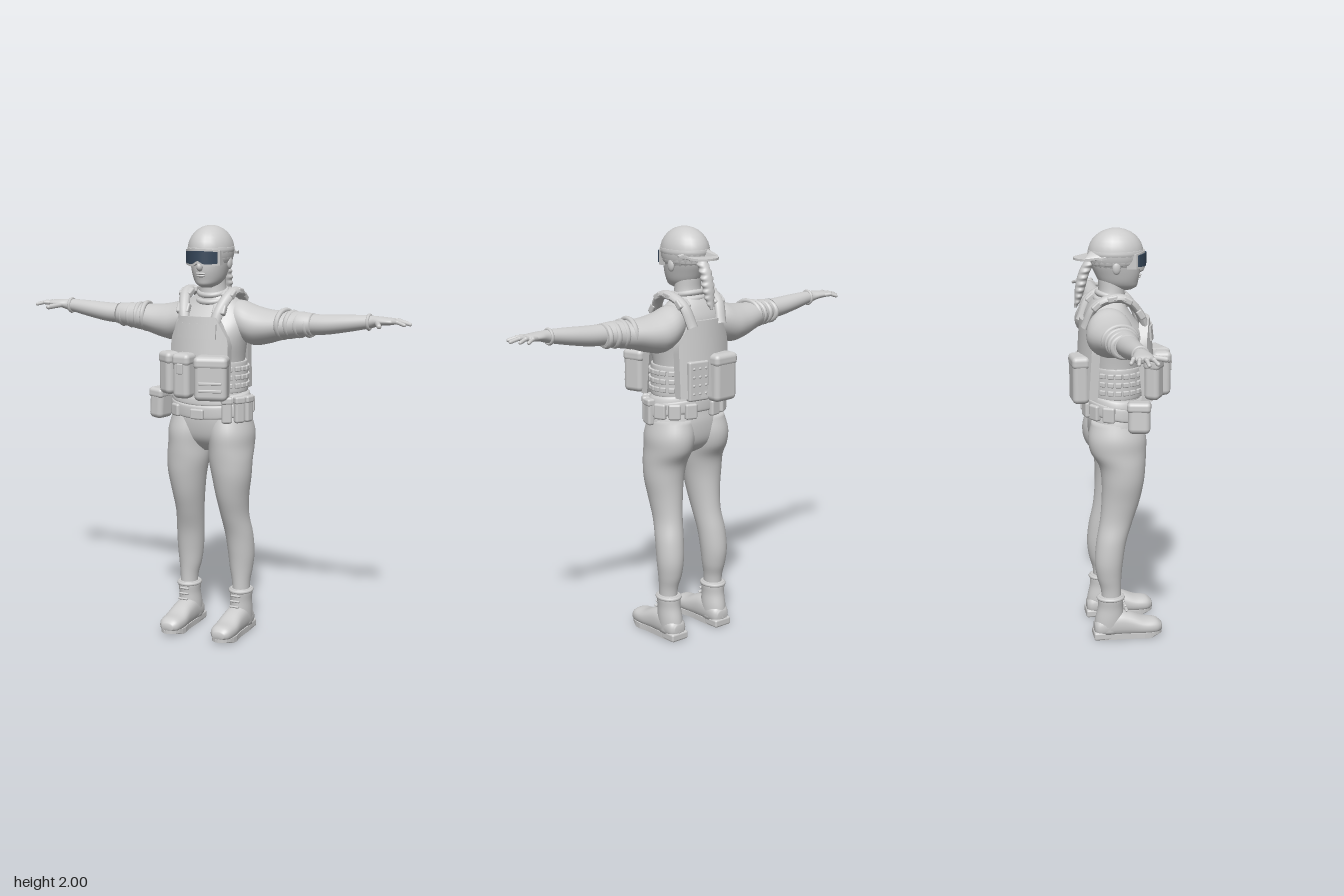
import * as THREE from 'three';
import { RoundedBoxGeometry } from 'three/addons/geometries/RoundedBoxGeometry.js';

const grey = new THREE.MeshStandardMaterial({ color: 0xcccccc });
grey.name = 'light grey';
const dark = new THREE.MeshStandardMaterial({ color: 0x36475a });
dark.name = 'dark blue lens';

// Smooth closed body along an axis (0 x, 1 y, 2 z).
// Sections: [position, centreU, centreV, radiusU, radiusV]; (u,v) is (z,y), (x,z) or (y,x).
function loft(axis, sections, { seg = 28, steps = 5, power = 1 } = {}) {
  const u = (axis + 2) % 3, v = (axis + 1) % 3, pos = [], idx = [];
  const mid = new THREE.CatmullRomCurve3(sections.map(s => new THREE.Vector3(s[0], s[1], s[2])), false, 'catmullrom');
  const rad = new THREE.CatmullRomCurve3(sections.map(s => new THREE.Vector3(s[3], s[4], 0)), false, 'catmullrom');
  const n = (sections.length - 1) * steps;
  const bend = c => Math.sign(c) * Math.abs(c) ** power;
  const push = (c, du, dv) => {
    const p = c.toArray(), q = [0, 0, 0];
    q[axis] = p[0]; q[u] = p[1] + du; q[v] = p[2] + dv;
    pos.push(...q);
  };
  for (let i = 0; i <= n; i++) {
    const c = mid.getPoint(i / n), r = rad.getPoint(i / n);
    for (let j = 0; j < seg; j++) {
      const a = j / seg * Math.PI * 2;
      push(c, r.x * bend(Math.cos(a)), r.y * bend(Math.sin(a)));
    }
  }
  for (let i = 0; i < n; i++) for (let j = 0; j < seg; j++) {
    const a = i * seg + j, b = i * seg + (j + 1) % seg;
    idx.push(a, a + seg, b, b, a + seg, b + seg);
  }
  const e = (n + 1) * seg;
  push(mid.getPoint(0), 0, 0);
  push(mid.getPoint(1), 0, 0);
  for (let j = 0; j < seg; j++) {
    const k = (j + 1) % seg;
    idx.push(e, j, k, e + 1, n * seg + k, n * seg + j);
  }
  const g = new THREE.BufferGeometry();
  g.setAttribute('position', new THREE.Float32BufferAttribute(pos, 3));
  g.setIndex(idx);
  g.computeVertexNormals();
  return g;
}

// Move every vertex by a rule.
function warp(g, rule) {
  const p = g.attributes.position, v = new THREE.Vector3();
  for (let i = 0; i < p.count; i++) { v.fromBufferAttribute(p, i); rule(v); p.setXYZ(i, v.x, v.y, v.z); }
  g.computeVertexNormals();
  return g;
}

// Curved armour panel, narrowed by taper(height from 0 to 1).
const panel = (w, h, d, curve, taper = () => 1) => warp(new THREE.BoxGeometry(w, h, d, 16, 12, 2), v => {
  v.x *= taper(v.y / h + 0.5);
  v.z -= curve * v.x * v.x;
});

const rbox = (w, h, d, r = 0.018) => new RoundedBoxGeometry(w, h, d, 3, Math.min(r, w / 2.1, h / 2.1, d / 2.1));
const ball = (rx, ry, rz) => new THREE.SphereGeometry(1, 24, 16).scale(rx, ry, rz);
const put = (g, x, y, z, ry = 0, rx = 0, rz = 0) => g.rotateZ(rz).rotateX(rx).rotateY(ry).translate(x, y, z);

function limb(a, b, r) {
  const A = new THREE.Vector3(...a), B = new THREE.Vector3(...b), d = B.clone().sub(A);
  const g = new THREE.CapsuleGeometry(r, d.length(), 5, 10);
  g.applyQuaternion(new THREE.Quaternion().setFromUnitVectors(new THREE.Vector3(0, 1, 0), d.normalize()));
  return g.translate(...A.add(B).multiplyScalar(0.5).toArray());
}

function mirrored(geo) {
  const g = geo.clone().scale(-1, 1, 1);
  const old = g.index ? Array.from(g.index.array) : Array.from({ length: g.attributes.position.count }, (_, i) => i);
  for (let i = 0; i < old.length; i += 3) [old[i], old[i + 1]] = [old[i + 1], old[i]];
  g.setIndex(old);
  return g;
}

export function createModel() {
  const model = new THREE.Group();
  model.name = 'figure';
  const add = (name, g, m = grey) => { const o = new THREE.Mesh(g, m); o.name = name; model.add(o); };
  const pair = (name, g) => { add(name + 'Left', g); add(name + 'Right', mirrored(g)); };

  // Head, cap and hair
  add('head', loft(1, [[1.71, 0, 0.005, 0.025, 0.045], [1.725, 0, 0, 0.052, 0.075], [1.75, 0, -0.01, 0.07, 0.092],
    [1.79, 0, -0.017, 0.083, 0.107], [1.84, 0, -0.027, 0.094, 0.118], [1.89, 0, -0.025, 0.095, 0.12]]));
  add('nose', put(ball(0.015, 0.022, 0.02), 0, 1.812, 0.092));
  add('upperLip', put(ball(0.026, 0.006, 0.012), 0, 1.779, 0.086));
  add('lowerLip', put(ball(0.022, 0.007, 0.012), 0, 1.768, 0.083));
  pair('ear', put(ball(0.012, 0.03, 0.02), 0.093, 1.825, -0.035));
  add('capDome', put(ball(0.106, 0.117, 0.132).toNonIndexed(), 0, 1.883, -0.025));
  add('capBand', loft(1, [[1.868, 0, -0.025, 0.103, 0.129], [1.885, 0, -0.025, 0.107, 0.133], [1.9, 0, -0.025, 0.105, 0.131]]));
  const brim = new THREE.Shape();
  for (let i = 0; i <= 20; i++) {
    const a = (i / 20 - 0.5) * 2.5;
    brim[i ? 'lineTo' : 'moveTo'](0.105 * Math.sin(a), 0.2 * Math.cos(a) ** 0.8);
  }
  for (let i = 20; i >= 0; i--) { const a = (i / 20 - 0.5) * 2.4; brim.lineTo(0.098 * Math.sin(a), 0.11 * Math.cos(a)); }
  const brimGeo = new THREE.ExtrudeGeometry(brim, { depth: 0.01, bevelEnabled: false });
  brimGeo.rotateX(-Math.PI / 2).translate(0, 1.905, -0.025);
  add('capBrim', warp(brimGeo, v => { v.y -= 4.2 * v.x * v.x + 0.5 * Math.max(0, -v.z - 0.13); }));
  const hair = [[1.63, 0, -0.216, 0.006, 0.006], [1.67, 0, -0.204, 0.022, 0.016], [1.73, 0, -0.192, 0.031, 0.024],
    [1.8, 0, -0.172, 0.03, 0.026], [1.86, 0, -0.135, 0.026, 0.03]];
  add('ponytail', warp(loft(1, hair, { steps: 12 }), v => { v.x *= 1 + 0.14 * Math.sin(v.y * 210); }));

  // Goggles
  const notch = v => { if (v.y < 0) v.y += 0.018 * Math.exp(-((v.x / 0.022) ** 2)); v.y *= 1 - 24 * v.x * v.x; };
  const frame = warp(new THREE.BoxGeometry(0.178, 0.086, 0.045, 24, 4, 1), v => { notch(v); v.z -= 7 * v.x * v.x; });
  add('goggleFrame', put(frame, 0, 1.853, 0.092));
  const lens = warp(new THREE.BoxGeometry(0.162, 0.064, 0.006, 24, 4, 1), v => { notch(v); v.z -= 7 * v.x * v.x; });
  add('goggleLens', put(lens, 0, 1.854, 0.117), dark);
  add('goggleStrap', loft(1, [[1.835, 0, -0.025, 0.097, 0.122], [1.85, 0, -0.025, 0.101, 0.125], [1.87, 0, -0.025, 0.1, 0.125]]));

  // Neck and folded collar
  add('neck', loft(1, [[1.6, 0, -0.055, 0.09, 0.08], [1.66, 0, -0.05, 0.074, 0.07], [1.71, 0, -0.045, 0.064, 0.062], [1.77, 0, -0.045, 0.06, 0.065]]));
  for (const [y, r] of [[1.655, 0.073], [1.685, 0.065]])
    add('collarFold', put(new THREE.TorusGeometry(r, 0.014, 10, 32), 0, y, -0.048, 0, Math.PI / 2 + 0.22));

  // Torso and pelvis
  add('torso', loft(1, [[0.92, 0, -0.03, 0.06, 0.05], [0.95, 0, -0.035, 0.16, 0.09], [1.0, 0, -0.033, 0.205, 0.12],
    [1.08, 0, -0.03, 0.2, 0.13], [1.15, 0, -0.028, 0.183, 0.122], [1.25, 0, -0.03, 0.165, 0.115], [1.35, 0, -0.03, 0.165, 0.125],
    [1.45, 0, -0.025, 0.178, 0.142], [1.52, 0, -0.038, 0.188, 0.138], [1.58, 0, -0.058, 0.182, 0.117],
    [1.63, 0, -0.065, 0.145, 0.092], [1.665, 0, -0.06, 0.095, 0.075], [1.69, 0, -0.05, 0.06, 0.06]], { seg: 40, power: 0.92 }));

  // Legs
  pair('leg', loft(1, [[0.16, 0.145, -0.07, 0.042, 0.048], [0.25, 0.144, -0.072, 0.044, 0.049], [0.32, 0.141, -0.08, 0.056, 0.06],
    [0.4, 0.14, -0.081, 0.065, 0.069], [0.5, 0.134, -0.068, 0.068, 0.073], [0.6, 0.123, -0.042, 0.068, 0.08],
    [0.7, 0.12, -0.021, 0.079, 0.092], [0.8, 0.12, -0.01, 0.095, 0.102], [0.88, 0.114, -0.012, 0.105, 0.112],
    [0.95, 0.11, -0.03, 0.107, 0.134], [1.02, 0.106, -0.035, 0.11, 0.139], [1.1, 0.095, -0.035, 0.1, 0.12]], { seg: 32 }));

  // Boots
  pair('bootShaft', loft(1, [[0.03, 0.14, -0.085, 0.052, 0.072], [0.1, 0.141, -0.08, 0.055, 0.07], [0.16, 0.143, -0.075, 0.052, 0.062],
    [0.205, 0.144, -0.073, 0.055, 0.063], [0.222, 0.144, -0.073, 0.05, 0.058]]));
  pair('bootFoot', loft(2, [[-0.155, 0.055, 0.14, 0.025, 0.03], [-0.13, 0.058, 0.14, 0.048, 0.05], [-0.05, 0.072, 0.14, 0.065, 0.055],
    [0.02, 0.066, 0.14, 0.058, 0.056], [0.09, 0.052, 0.14, 0.042, 0.06], [0.15, 0.048, 0.14, 0.036, 0.053],
    [0.18, 0.044, 0.14, 0.018, 0.03]], { power: 0.85 }));
  const sole = new THREE.Shape();
  sole.moveTo(-0.04, -0.155);
  sole.bezierCurveTo(-0.06, -0.06, -0.04, 0, -0.06, 0.09);
  sole.bezierCurveTo(-0.06, 0.215, 0.06, 0.215, 0.06, 0.09);
  sole.bezierCurveTo(0.04, 0, 0.06, -0.06, 0.04, -0.155);
  const soleGeo = new THREE.ExtrudeGeometry(sole, { depth: 0.028, bevelEnabled: false });
  pair('bootSole', warp(put(soleGeo, 0.14, 0.028, 0, 0, Math.PI / 2), v => { if (v.y < 0.01 && v.z > 0.13) v.y += 0.012; }));
  pair('bootHeel', put(rbox(0.1, 0.04, 0.09, 0.01), 0.14, 0.02, -0.115));
  for (let i = 0; i < 4; i++) pair('bootLace', put(rbox(0.05, 0.01, 0.014, 0.005), 0.142, 0.115 + i * 0.025, 0.012 - i * 0.008, 0, -0.5));
  pair('bootCollar', put(new THREE.TorusGeometry(0.052, 0.009, 8, 28).scale(1, 1.15, 1), 0.144, 0.21, -0.073, 0, Math.PI / 2));

  // Arms with rolled sleeves
  pair('sleeve', loft(0, [[0.06, -0.07, 1.58, 0.06, 0.06], [0.14, -0.078, 1.555, 0.1, 0.092], [0.21, -0.08, 1.53, 0.113, 0.094],
    [0.28, -0.077, 1.528, 0.106, 0.082], [0.36, -0.07, 1.538, 0.09, 0.068], [0.42, -0.063, 1.545, 0.074, 0.064],
    [0.47, -0.058, 1.55, 0.066, 0.058], [0.52, -0.055, 1.552, 0.056, 0.052]]));
  for (const [x, r] of [[0.37, 0.072], [0.41, 0.063], [0.455, 0.057], [0.5, 0.052]])
    pair('sleeveFold', put(new THREE.TorusGeometry(r, 0.013, 8, 28).scale(1.08, 0.9, 1), x, 1.547, -0.062, Math.PI / 2 - 0.15, 0, 0));
  pair('forearm', loft(0, [[0.48, -0.054, 1.552, 0.053, 0.049], [0.58, -0.05, 1.556, 0.052, 0.047], [0.68, -0.048, 1.567, 0.045, 0.041],
    [0.77, -0.046, 1.578, 0.035, 0.033], [0.81, -0.045, 1.582, 0.033, 0.028], [0.85, -0.045, 1.587, 0.042, 0.021],
    [0.9, -0.048, 1.588, 0.044, 0.016], [0.92, -0.05, 1.587, 0.034, 0.011]]));
  pair('wristBand', put(new THREE.TorusGeometry(0.032, 0.008, 8, 24), 0.795, 1.58, -0.045, Math.PI / 2));
  for (const [a, b] of [[[0.88, -0.08], [0.94, -0.108]], [[0.9, -0.065], [0.965, -0.08]], [[0.9, -0.045], [0.99, -0.042]], [[0.9, -0.024], [0.975, -0.002]]]) {
    const m = [(a[0] + b[0]) / 2, 1.59, (a[1] + b[1]) / 2];
    pair('fingerBase', limb([a[0], 1.587, a[1]], m, 0.0105));
    pair('fingerTip', limb(m, [b[0], 1.58, b[1]], 0.0085));
  }
  pair('thumb', limb([0.84, 1.582, -0.02], [0.875, 1.575, 0.05], 0.012));

  // Vest plates and shoulder straps
  const taper = t => t > 0.72 ? 1 - (t - 0.72) * 1.35 : 1;
  add('chestPlate', put(panel(0.3, 0.38, 0.045, 2.2, taper), 0, 1.39, 0.132, 0, -0.1));
  add('chestPatch', put(panel(0.2, 0.07, 0.01, 2.2), 0, 1.515, 0.146, 0, -0.1));
  add('backPlate', put(panel(0.3, 0.36, 0.04, -2, taper), 0, 1.4, -0.188, 0, 0.06));
  const strap = new THREE.CatmullRomCurve3([[0.085, 1.55, 0.1], [0.095, 1.61, 0.075], [0.112, 1.68, 0.01], [0.115, 1.69, -0.06],
    [0.105, 1.65, -0.14], [0.09, 1.55, -0.185]].map(p => new THREE.Vector3(...p)));
  pair('shoulderStrap', warp(new THREE.TubeGeometry(strap, 40, 0.021, 10), v => { v.x = 0.1 + (v.x - 0.1) * 1.35; }));
  for (const t of [0.2, 0.4, 0.6, 0.78]) {
    const p = strap.getPoint(t), d = strap.getTangent(t);
    pair('strapBuckle', put(rbox(0.066, 0.05, 0.03, 0.008), p.x, p.y, p.z, 0, Math.atan2(d.z, d.y) + (t > 0.5 ? Math.PI : 0)));
  }

  // Things set around an elliptical waist
  const around = (name, y, rx, rz, size, angles) => angles.forEach(deg => {
    const a = deg * Math.PI / 180;
    add(name, put(rbox(...size), rx * Math.sin(a), y, -0.03 + rz * Math.cos(a), Math.atan2(Math.sin(a) / rx, Math.cos(a) / rz)));
  });

  // Side webbing
  add('waistBand', loft(1, [[1.215, 0, -0.03, 0.178, 0.136], [1.23, 0, -0.03, 0.184, 0.14], [1.35, 0, -0.03, 0.181, 0.142], [1.362, 0, -0.03, 0.174, 0.137]], { seg: 40 }));
  for (const y of [1.25, 1.29, 1.33])
    around('webbingLoop', y, 0.184, 0.144, [0.03, 0.024, 0.016, 0.005], [50, 66, 80, 94, 108, 124, -50, -66, -80, -94, -108, -124]);

  // Belt, tilted down at the front
  add('belt', warp(loft(1, [[1.11, 0, -0.03, 0.2, 0.144], [1.12, 0, -0.03, 0.207, 0.15], [1.165, 0, -0.03, 0.203, 0.15],
    [1.175, 0, -0.03, 0.195, 0.142]], { seg: 40 }), v => { v.y -= 0.18 * v.z; }));
  add('hipPad', warp(loft(1, [[1.165, 0, -0.03, 0.195, 0.14], [1.175, 0, -0.03, 0.2, 0.144], [1.2, 0, -0.03, 0.193, 0.14],
    [1.21, 0, -0.03, 0.18, 0.13]], { seg: 40 }), v => { v.y -= 0.12 * v.z; }));
  add('beltBuckle', put(rbox(0.07, 0.05, 0.025, 0.008), 0, 1.115, 0.122));
  around('beltPouch', 1.135, 0.207, 0.155, [0.05, 0.12, 0.035, 0.012], [42, 62, 82]);
  around('beltPouchFlap', 1.185, 0.208, 0.158, [0.054, 0.035, 0.04, 0.01], [42, 62, 82]);
  around('rearBeltPouch', 1.15, 0.204, 0.15, [0.06, 0.075, 0.03, 0.01], [108, 132, 156, -112, -140, -164]);
  around('frontBeltPouch', 1.12, 0.2, 0.15, [0.06, 0.06, 0.025, 0.01], [-42]);
  add('hipPouch', put(rbox(0.078, 0.14, 0.105, 0.025), -0.232, 1.14, 0.05, -0.2, 0, -0.06));
  add('hipPouchFlap', put(rbox(0.084, 0.05, 0.112, 0.018), -0.23, 1.195, 0.05, -0.2, 0, -0.06));

  // Front and back pouches: [name, size, position, turn]
  for (const [name, w, h, d, x, y, z, turn] of [
    ['magazinePouch', 0.09, 0.205, 0.075, -0.14, 1.31, 0.135, -0.55],
    ['centrePouch', 0.088, 0.215, 0.085, -0.034, 1.31, 0.19, -0.05],
    ['utilityPouch', 0.155, 0.21, 0.105, 0.106, 1.305, 0.18, 0.3],
    ['backPouch', 0.135, 0.23, 0.08, -0.07, 1.305, -0.21, 0.05]]) {
    add(name, put(rbox(w, h, d, 0.025), x, y, z, turn));
    add(name + 'Flap', put(rbox(w + 0.006, 0.06, d + 0.006, 0.022), x, y + h / 2 - 0.032, z, turn));
  }
  for (const y of [1.25, 1.285]) add('utilityStrap', put(rbox(0.11, 0.014, 0.012, 0.004), 0.122, y, 0.231, 0.3));
  add('pouchTab', put(rbox(0.03, 0.05, 0.012, 0.005), -0.034, 1.345, 0.234, -0.05));
  add('backPanel', put(rbox(0.11, 0.19, 0.035, 0.01), 0.065, 1.3, -0.193, -0.12));
  for (let i = 0; i < 12; i++)
    add('backPanelStud', put(ball(0.007, 0.007, 0.005), 0.03 + (i % 3) * 0.033, 1.24 + Math.floor(i / 3) * 0.04, -0.214 + (i % 3) * 0.004));
  return model;
}
